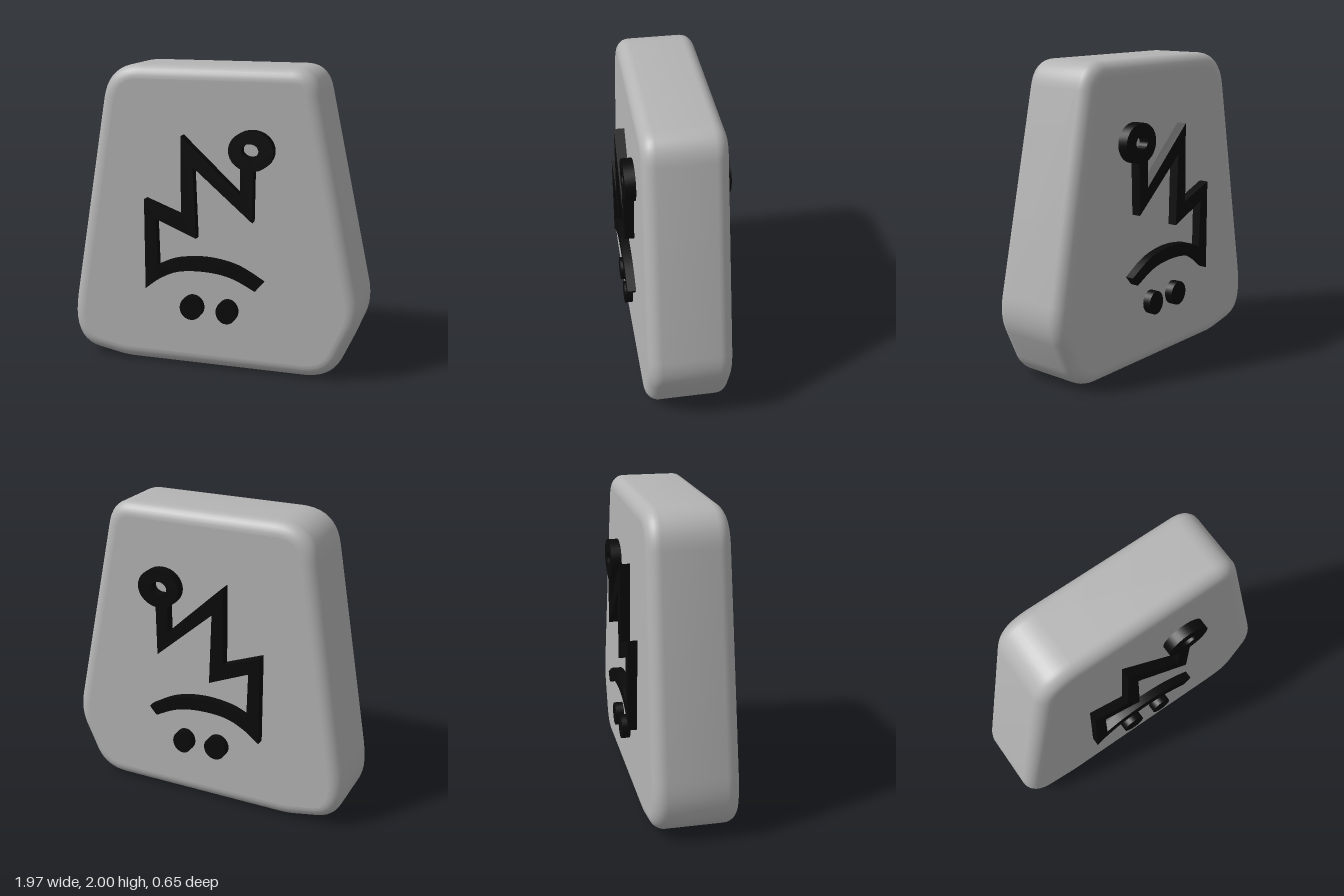
import * as THREE from 'three';
import { toCreasedNormals } from 'three/addons/utils/BufferGeometryUtils.js';

const stoneMat = new THREE.MeshStandardMaterial({ color: 0xb4b4b4 });
stoneMat.name = 'stone grey';
const markMat = new THREE.MeshStandardMaterial({ color: 0x0a0a0a });
markMat.name = 'carving black';

// Polygon with softened corners; each corner is [x, y, cut before, cut after]
function roundedPolygon(corners) {
  const shape = new THREE.Shape();
  const n = corners.length;
  const toward = (a, b, d) => {
    const p = new THREE.Vector2(a[0], a[1]);
    const dir = new THREE.Vector2(b[0], b[1]).sub(p).normalize();
    return p.addScaledVector(dir, d);
  };
  corners.forEach((c, i) => {
    const start = toward(c, corners[(i + n - 1) % n], c[2]);
    const end = toward(c, corners[(i + 1) % n], c[3]);
    if (i === 0) shape.moveTo(start.x, start.y);
    else shape.lineTo(start.x, start.y);
    shape.quadraticCurveTo(c[0], c[1], end.x, end.y);
  });
  shape.closePath();
  return shape;
}

// Pebble-edged slab, slightly thinner towards the top
function createStone() {
  const outline = roundedPolygon([
    [-1.02, 0.08, 0.34, 0.22],
    [-0.6, 0.0, 0.06, 0.06],
    [0.82, 0.0, 0.18, 0.16],
    [1.016, 0.43, 0.12, 0.14],
    [0.68, 2.0, 0.16, 0.14],
    [-0.696, 2.0, 0.23, 0.23],
  ].map((c) => c));
  const bevel = 0.09, half = 0.277;
  let geo = new THREE.ExtrudeGeometry(outline, {
    depth: 2 * (half - bevel), curveSegments: 10,
    bevelThickness: bevel, bevelSize: bevel, bevelOffset: -bevel, bevelSegments: 7,
  });
  geo.translate(0, 0, bevel - half);
  const pos = geo.attributes.position;
  for (let i = 0; i < pos.count; i++) {
    pos.setZ(i, pos.getZ(i) * (1 - 0.042 * pos.getY(i)));
  }
  const caps = geo.groups[0];
  geo = toCreasedNormals(geo, 0.6);
  // Keep the two broad faces perfectly flat
  const normal = geo.attributes.normal;
  for (let i = caps.start; i < caps.start + caps.count; i++) {
    normal.setXYZ(i, 0, 0.012, Math.sign(geo.attributes.position.getZ(i)));
  }
  geo.clearGroups();
  const mesh = new THREE.Mesh(geo, stoneMat);
  mesh.name = 'stoneSlab';
  return mesh;
}

function ellipse(x, y, rx, ry) {
  return new THREE.Shape().absellipse(x, y, rx, ry, 0, Math.PI * 2, false);
}

// Zigzag stroke joined to a curved arch
function zigzagShape() {
  const v = (list) => list.map(([x, y]) => new THREE.Vector2(x, y));
  const shape = new THREE.Shape();
  shape.moveTo(-0.417, 0.535);
  v([
    [-0.417, 1.14], [-0.165, 1.045], [-0.162, 1.565], [0.23, 1.2], [0.23, 1.39],
    [0.315, 1.39], [0.31, 1.03], [-0.085, 1.37], [-0.065, 0.9], [-0.34, 1.015], [-0.33, 0.7],
  ]).forEach((p) => shape.lineTo(p.x, p.y));
  shape.splineThru(v([[-0.2, 0.752], [0, 0.77], [0.2, 0.733], [0.38, 0.638]]));
  shape.lineTo(0.33, 0.58);
  shape.splineThru(v([[0.17, 0.655], [0, 0.682], [-0.18, 0.67], [-0.31, 0.615], [-0.417, 0.535]]));
  return shape;
}

export function createModel() {
  const model = new THREE.Group();
  model.name = 'carvedStone';
  model.add(createStone());

  const ring = ellipse(0.295, 1.487, 0.145, 0.128);
  ring.holes.push(ellipse(0.29, 1.49, 0.056, 0.044));
  const marks = {
    zigzag: zigzagShape(),
    ring,
    rightDot: ellipse(-0.103, 0.425, 0.077, 0.08),
    leftDot: ellipse(0.137, 0.417, 0.07, 0.078),
  };

  // The same raised marks stand out of both faces
  const depth = 0.1, reach = 0.327;
  for (const [side, z] of [['front', reach - depth], ['back', -reach]]) {
    const group = new THREE.Group();
    group.name = side + 'Marks';
    for (const [name, shape] of Object.entries(marks)) {
      const geo = new THREE.ExtrudeGeometry(shape, { depth, bevelEnabled: false, curveSegments: 16 });
      const mesh = new THREE.Mesh(toCreasedNormals(geo, 0.5), markMat);
      mesh.name = name;
      mesh.position.z = z;
      group.add(mesh);
    }
    model.add(group);
  }
  return model;
}
